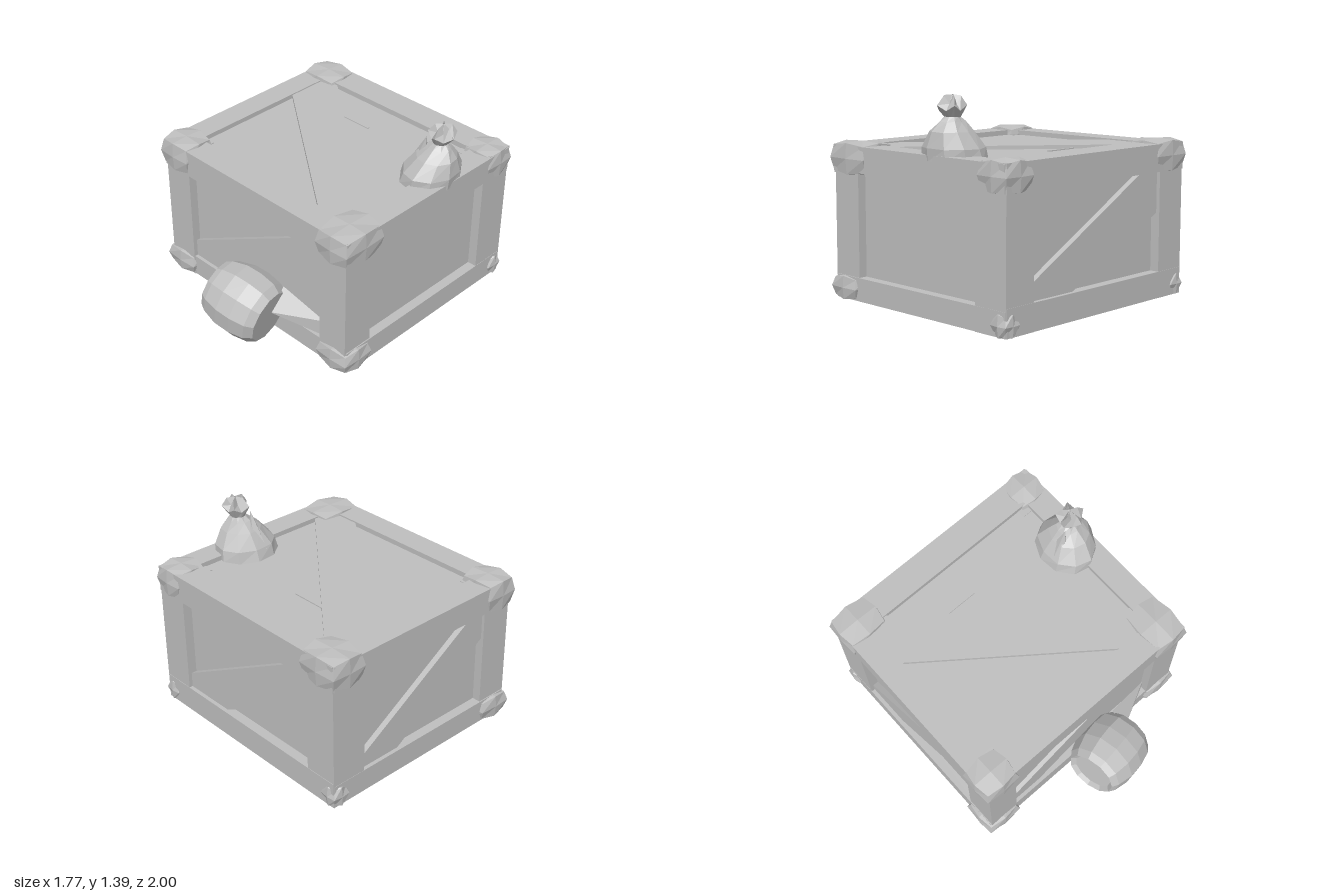
import * as THREE from 'three';

export function createModel() {
  const root = new THREE.Group();
  const grey = new THREE.MeshStandardMaterial({ color: 0xbebebe, flatShading: true, side: THREE.DoubleSide });
  grey.name = 'plain grey';

  const add = (name, geometry, parent = root) => {
    const mesh = new THREE.Mesh(geometry, grey);
    mesh.name = name;
    parent.add(mesh);
    return mesh;
  };
  // Box given by its two extremes on each axis
  const box = (name, [x0, x1], [y0, y1], [z0, z1], seg = 1) => {
    const g = new THREE.BoxGeometry(x1 - x0, y1 - y0, z1 - z0, seg, seg, seg);
    g.translate((x0 + x1) / 2, (y0 + y1) / 2, (z0 + z1) / 2);
    return add(name, g);
  };
  // Orders a range after mirroring
  const range = (s, a, b) => (s > 0 ? [a, b] : [-b, -a]);

  // Recessed panels
  box('panels', [-0.785, 0.785], [0.0, 0.995], [-0.91, 0.53]);

  // Corner posts
  for (const s of [-1, 1]) {
    box('frontPost', range(s, 0.62, 0.845), [0.005, 1.0], [0.36, 0.59]);
    box('backPost', range(s, 0.61, 0.85), [0.0, 1.0], [-0.975, -0.72]);
    // Side rails, top and bottom
    box('sideBottomRail', range(s, 0.7, 0.852), [0.003, 0.16], [-0.97, 0.58]);
    box('sideTopRail', range(s, 0.685, 0.858), [0.855, 1.028], [-0.97, 0.595]);
  }
  // Front and back rails
  box('frontBottomRail', [-0.84, 0.84], [0.008, 0.16], [0.42, 0.585]);
  box('frontTopRail', [-0.85, 0.85], [0.84, 1.03], [0.42, 0.597]);
  box('backBottomRail', [-0.845, 0.845], [0.002, 0.18], [-0.978, -0.78]);
  box('backTopRail', [-0.85, 0.85], [0.85, 1.033], [-0.98, -0.775]);

  // Faceted corner caps: every face centre swells outward, the corners are worn in
  const cap = (name, xs, ys, zs, swell = 0.018) => {
    const g = box(name, xs, ys, zs, 2).geometry;
    const mid = [xs, ys, zs].map(([a, b]) => (a + b) / 2);
    const half = [xs, ys, zs].map(([a, b]) => (b - a) / 2);
    const p = g.attributes.position;
    for (let i = 0; i < p.count; i++) {
      const d = [0, 1, 2].map((k) => (p.getComponent(i, k) - mid[k]) / half[k]);
      const outer = d.filter((v) => Math.abs(v) > 0.5).length;
      const push = outer === 1 ? swell * 0.4 : outer === 3 ? -swell : 0;
      for (let k = 0; k < 3; k++) {
        const v = p.getComponent(i, k) + Math.sign(Math.round(d[k])) * push;
        p.setComponent(i, k, k === 1 ? Math.max(0, v) : v);
      }
    }
  };
  cap('topFrontCap', [-0.875, -0.61], [0.84, 1.05], [0.37, 0.615]);
  cap('topFrontCap', [0.6, 0.87], [0.84, 1.045], [0.28, 0.615]);
  cap('topBackCap', [-0.872, -0.57], [0.85, 1.052], [-0.99, -0.73]);
  cap('topBackCap', [0.63, 0.865], [0.85, 1.045], [-0.99, -0.75]);
  cap('bottomFrontCap', [-0.88, -0.61], [0.0, 0.158], [0.36, 0.615]);
  cap('bottomFrontCap', [0.61, 0.875], [0.0, 0.158], [0.37, 0.615]);
  for (const s of [-1, 1]) cap('bottomBackCap', range(s, 0.74, 0.865), [0.0, 0.14], [-0.985, -0.86]);

  // Diagonal braces, cut to fit the frame openings
  const brace = (name, points, depth, place) => {
    const g = new THREE.ExtrudeGeometry(
      new THREE.Shape(points.map(([a, b]) => new THREE.Vector2(a, b))),
      { depth, bevelEnabled: false });
    place(g);
    add(name, g);
  };
  brace('frontBrace', [[-0.63, 0.15], [-0.4, 0.15], [0.63, 0.68], [0.63, 0.85], [0.43, 0.85], [-0.63, 0.28]],
    0.04, (g) => g.translate(0, 0, 0.52));
  brace('backBrace', [[0.62, 0.17], [0.25, 0.17], [-0.62, 0.58], [-0.62, 0.86], [-0.45, 0.86], [0.62, 0.28]],
    0.045, (g) => g.translate(0, 0, -0.95));
  brace('sideBrace', [[-0.73, 0.15], [-0.42, 0.15], [0.37, 0.66], [0.37, 0.86], [0.26, 0.86], [-0.73, 0.24]],
    0.045, (g) => g.rotateY(-Math.PI / 2).translate(-0.78, 0, 0));
  brace('topBrace', [[-0.69, -0.78], [-0.56, -0.78], [0.7, 0.27], [0.7, 0.43], [0.45, 0.43], [-0.69, -0.45]],
    0.03, (g) => g.rotateX(Math.PI / 2).translate(0, 1.02, 0));
  box('topSplinter', [-0.26, -0.01], [0.99, 1.002], [-0.53, -0.515]);

  // Small keg lying on its side, with a sunken lid at each end
  const kegProfile = [[0, -0.19], [0.145, -0.19], [0.175, -0.215], [0.205, -0.17], [0.237, -0.06],
    [0.24, 0.05], [0.222, 0.16], [0.185, 0.215], [0, 0.215]];
  const keg = add('keg', new THREE.LatheGeometry(kegProfile.map(([r, y]) => new THREE.Vector2(r, y)), 11));
  keg.quaternion.setFromUnitVectors(new THREE.Vector3(0, 1, 0), new THREE.Vector3(0.95, -0.2, -0.18).normalize());
  keg.position.set(0.085, 0.268, 0.762);

  // Splintered wedge between the keg and the crate
  const wedge = new THREE.BufferGeometry();
  wedge.setAttribute('position', new THREE.Float32BufferAttribute([
    0.28, 0.39, 0.58, 0.62, 0.27, 0.54, 0.28, 0.25, 0.71,
    0.62, 0.15, 0.54, 0.22, 0.15, 0.58], 3));
  wedge.setIndex([0, 2, 1, 2, 3, 1, 2, 4, 3]);
  wedge.computeVertexNormals();
  add('wedge', wedge);

  // Tied sack: rings of [height, radius x, radius z, centre x, centre z, ruffle]
  const sack = new THREE.Group();
  sack.name = 'sack';
  root.add(sack);
  const loft = (name, rings, n) => {
    const pos = [], index = [];
    rings.forEach(([y, rx, rz, cx, cz, ruffle], j) => {
      for (let i = 0; i < n; i++) {
        const a = (i / n) * Math.PI * 2 + 0.2;
        const k = 1 + ruffle * (i % 2 ? -1 : 1);
        pos.push(cx + rx * k * Math.cos(a), y + 0.12 * ruffle * (i % 2 ? -1 : 1), cz + rz * k * Math.sin(a));
        if (j) {
          const a0 = (j - 1) * n + i, a1 = (j - 1) * n + (i + 1) % n;
          index.push(a0, a0 + n, a1, a1, a0 + n, a1 + n);
        }
      }
    });
    const g = new THREE.BufferGeometry();
    g.setAttribute('position', new THREE.Float32BufferAttribute(pos, 3));
    g.setIndex(index);
    g.computeVertexNormals();
    add(name, g, sack);
  };
  loft('sackBody', [
    [0.99, 0.19, 0.225, 0.675, -0.37, 0], [1.07, 0.18, 0.215, 0.69, -0.37, 0.02],
    [1.17, 0.135, 0.14, 0.715, -0.38, 0.02], [1.23, 0.085, 0.075, 0.72, -0.395, 0.03],
    [1.265, 0.045, 0.045, 0.725, -0.4, 0]], 10);
  loft('sackRuffle', [
    [1.25, 0.045, 0.045, 0.72, -0.4, 0], [1.315, 0.088, 0.085, 0.735, -0.4, 0.14],
    [1.365, 0.045, 0.05, 0.735, -0.405, 0.2], [1.395, 0.005, 0.005, 0.73, -0.41, 0]], 10);
  // Loose folds of cloth at the left of the neck
  const fold = add('sackFold', new THREE.ConeGeometry(0.075, 0.27, 5), sack);
  fold.position.set(0.615, 1.165, -0.35);
  fold.rotation.z = -0.25;

  return root;
}
